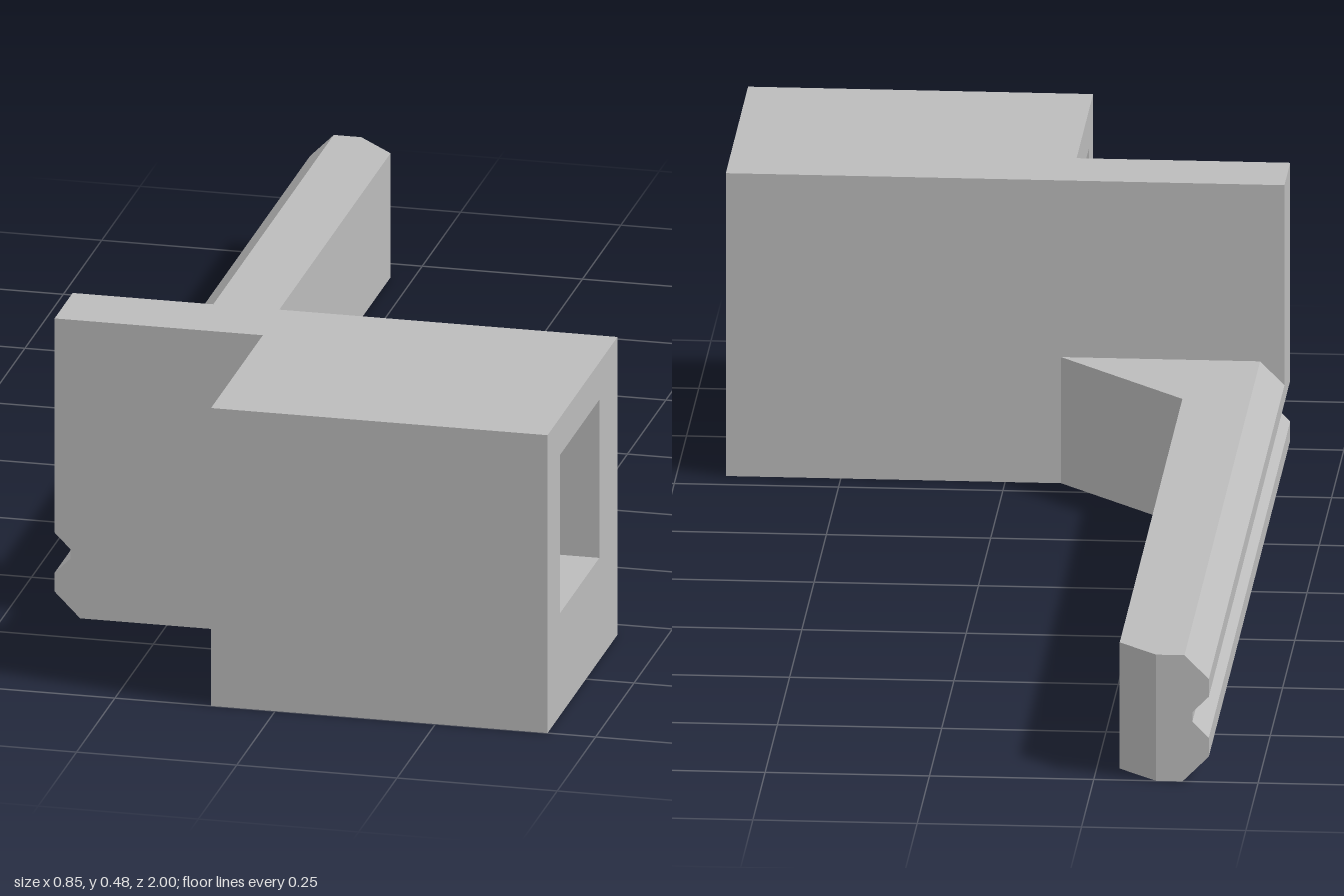
import * as THREE from 'three';

const grey = new THREE.MeshStandardMaterial({ color: 0xbcbcbc });
grey.name = 'plain grey';

const shapeOf = (pts) => new THREE.Shape(pts.map(([a, b]) => new THREE.Vector2(a, b)));
const extrude = (shape, depth) =>
  new THREE.ExtrudeGeometry(shape, { depth, bevelEnabled: false, curveSegments: 32 });

// Plan outline [x, z] raised from the ground to height h
const fromPlan = (pts, h, hole) => {
  const shape = shapeOf(pts.map(([x, z]) => [x, -z]));
  if (hole) {
    const path = new THREE.Path();
    path.absarc(hole.x, -hole.z, hole.r, 0, Math.PI * 2, true);
    shape.holes.push(path);
  }
  return extrude(shape, h).rotateX(-Math.PI / 2);
};

// Helical thread lining a vertical hole, facing inward
function threadGeometry(major, minor, pitch, height) {
  const profile = [minor, minor, major, major];
  const rows = Math.ceil((4 * height) / pitch) + 9;
  const seg = 64, pos = [], idx = [];
  for (let k = 0; k < rows; k++) {
    for (let i = 0; i <= seg; i++) {
      const u = i / seg, a = u * Math.PI * 2;
      const y = pitch * ((k - 4) / 4 + u);
      const inside = y > 0 && y < height;
      const r = inside ? profile[k % 4] : major;
      pos.push(r * Math.cos(a), THREE.MathUtils.clamp(y, 0, height), -r * Math.sin(a));
      if (k < rows - 1 && i < seg) {
        const p = k * (seg + 1) + i, up = p + seg + 1;
        idx.push(p, up, p + 1, up, up + 1, p + 1);
      }
    }
  }
  const geo = new THREE.BufferGeometry();
  geo.setAttribute('position', new THREE.Float32BufferAttribute(pos, 3));
  geo.setIndex(idx);
  const flat = geo.toNonIndexed();
  flat.computeVertexNormals();
  return flat;
}

export function createModel() {
  const model = new THREE.Group();
  model.name = 'bracket';
  const add = (name, geo, x = 0, y = 0, z = 0) => {
    const mesh = new THREE.Mesh(geo, grey);
    mesh.name = name;
    mesh.position.set(x, y, z);
    model.add(mesh);
  };

  const L = -0.425, R = 0.425, boxL = -0.1, back = 0.545, front = 1;
  const floorH = 0.165, top = 0.48;
  const hole = { x: 0.163, z: 0.79, r: 0.116 };

  // Socket block: floor with a round hole, and walls around the square tunnel
  add('blockFloor', fromPlan([[boxL, front], [R, front], [R, back], [boxL, back]], floorH, hole));
  const walls = shapeOf([
    [-front, floorH], [-0.92, floorH], [-0.92, 0.42], [-0.663, 0.42],
    [-0.663, floorH], [-back, floorH], [-back, top], [-front, top],
  ]);
  add('blockWalls', extrude(walls, R - boxL).rotateY(Math.PI / 2), boxL);
  add('screwThread', threadGeometry(hole.r, 0.1, 0.046, floorH), hole.x, 0, hole.z);

  // Grooved left edge shared by the flange and the rail
  const edge = [[-0.385, 0], [L, 0.04], [L, 0.07], [-0.4, 0.095], [-0.4, 0.11], [L, 0.135]];

  // Flange beside the block
  add('flange', extrude(shapeOf([...edge, [L, top], [boxL, top], [boxL, 0]]), 0.663 - back), 0, 0, back);

  // Long arm: grooved rail, then the inner side with clipped tip and gusset
  const mid = -0.345, armH = 0.2;
  add('armRail', extrude(shapeOf([...edge, [L, 0.163], [-0.388, armH], [mid, armH], [mid, 0]]), back + 1), 0, 0, -1);
  add('armInnerSide', fromPlan(
    [[mid, -1], [-0.285, -0.94], [-0.285, 0.34], [-0.085, back], [mid, back]], armH));

  return model;
}
